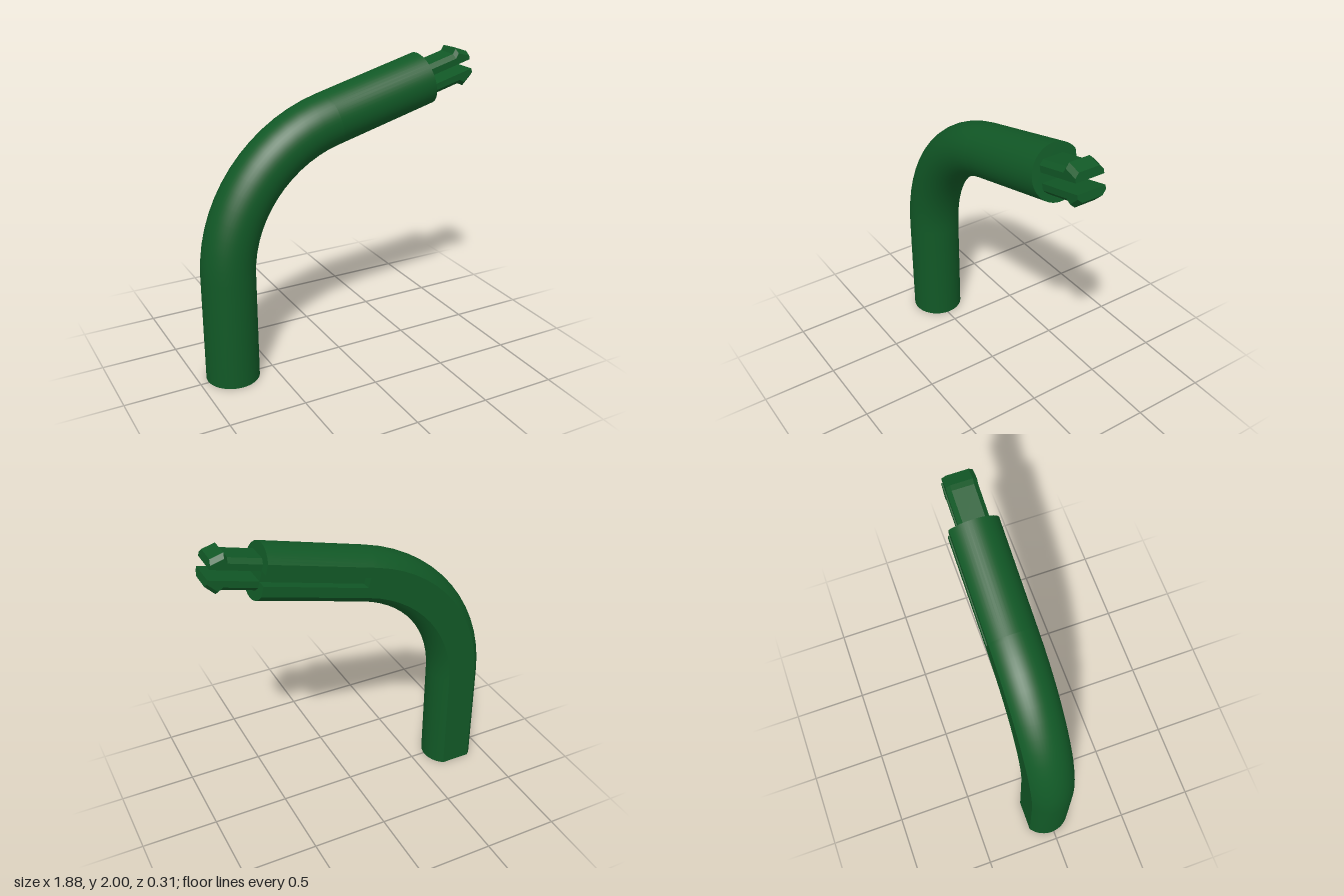
import * as THREE from 'three';
import { toCreasedNormals } from 'three/addons/utils/BufferGeometryUtils.js';

const RADIUS = 0.173, CENTRE_Z = -0.016, FLAT_Z = -0.157;
const TILT = Math.PI / 12;                       // slope of the upper arm
const END = new THREE.Vector2(0.6125, 1.8125);   // centre of the upper end face
const BASE_X = -0.772, BEND = 0.94, GROOVE = 0.69;

// Station: centre point, heading angle in the xy plane and [normal, z] outline
const station = (x, y, angle, outline) => ({ x, y, angle, outline });

// Station on the upper arm, u measured along its axis from the end face
const armStation = (u, outline) =>
  station(END.x + u * Math.cos(TILT), END.y + u * Math.sin(TILT), TILT, outline);

// Skin counter-clockwise outlines along the stations and cap both ends
function loft(stations) {
  const pos = [], idx = [], n = stations[0].outline.length;
  for (const s of stations) {
    for (const [a, z] of s.outline) {
      pos.push(s.x - Math.sin(s.angle) * a, s.y + Math.cos(s.angle) * a, z);
    }
  }
  for (let i = 0; i < stations.length - 1; i++) {
    for (let j = 0; j < n; j++) {
      const k = (j + 1) % n, p = i * n, q = p + n;
      idx.push(p + j, p + k, q + k, p + j, q + k, q + j);
    }
  }
  const last = (stations.length - 1) * n;
  const capOf = (s) => THREE.ShapeUtils.triangulateShape(
    s.outline.map(([a, z]) => new THREE.Vector2(a, z)), []);
  for (const [a, b, c] of capOf(stations[0])) idx.push(a, c, b);
  for (const [a, b, c] of capOf(stations[stations.length - 1])) {
    idx.push(last + a, last + b, last + c);
  }
  const geo = new THREE.BufferGeometry();
  geo.setAttribute('position', new THREE.Float32BufferAttribute(pos, 3));
  geo.setIndex(idx);
  return toCreasedNormals(geo, 0.3);
}

// Round outline with a flat back, optionally notched by the groove
function tubeOutline(notched) {
  const start = Math.asin((FLAT_Z - CENTRE_Z) / RADIUS), steps = 40;
  const pts = [];
  for (let i = 0; i <= steps; i++) {
    const t = start + (Math.PI - 2 * start) * i / steps;
    pts.push([RADIUS * Math.cos(t), CENTRE_Z + RADIUS * Math.sin(t)]);
  }
  if (notched) {
    pts.push([-0.034, FLAT_Z], [-0.034, -0.097], [0.034, -0.097], [0.034, FLAT_Z]);
  }
  return pts;
}

// Prong outline: flat inside, chamfered outside; side is +1 upper, -1 lower
function prongOutline(outer, side) {
  const w = 0.095, c = 0.027, inner = 0.032;
  const pts = [[inner, -w], [outer - c, -w], [outer, c - w],
    [outer, w - c], [outer - c, w], [inner, w]];
  return side > 0 ? pts : pts.map(([a, z]) => [-a, z]).reverse();
}

export function createModel() {
  const model = new THREE.Group();
  model.name = 'bentClipTube';
  const green = new THREE.MeshStandardMaterial({ color: 0x115826 });
  green.name = 'darkGreen';
  const add = (name, stations) => {
    const mesh = new THREE.Mesh(loft(stations), green);
    mesh.name = name;
    model.add(mesh);
  };

  // Upright, bend and the plain start of the arm
  const plain = tubeOutline(false);
  const turn = Math.PI / 2 - TILT;
  const cornerY = END.y - (END.x - BASE_X) * Math.tan(TILT);
  const bendY = cornerY - BEND * Math.tan(turn / 2);
  const body = [station(BASE_X, 0, Math.PI / 2, plain)];
  const steps = 14;
  for (let i = 0; i <= steps; i++) {
    const t = turn * i / steps;
    body.push(station(BASE_X + BEND * (1 - Math.cos(t)), bendY + BEND * Math.sin(t),
      Math.PI / 2 - t, plain));
  }
  body.push(armStation(-GROOVE, plain));
  add('tubeBody', body);

  // Arm with the groove in its flat back
  const notched = tubeOutline(true);
  add('groovedArm', [armStation(-GROOVE, notched), armStation(0, notched)]);

  // Two barbed snap prongs
  const profile = [[-0.02, 0.1], [0.212, 0.1], [0.238, 0.127], [0.312, 0.084]];
  for (const side of [1, -1]) {
    add(side > 0 ? 'upperProng' : 'lowerProng',
      profile.map(([u, outer]) => armStation(u, prongOutline(outer, side))));
  }
  return model;
}
